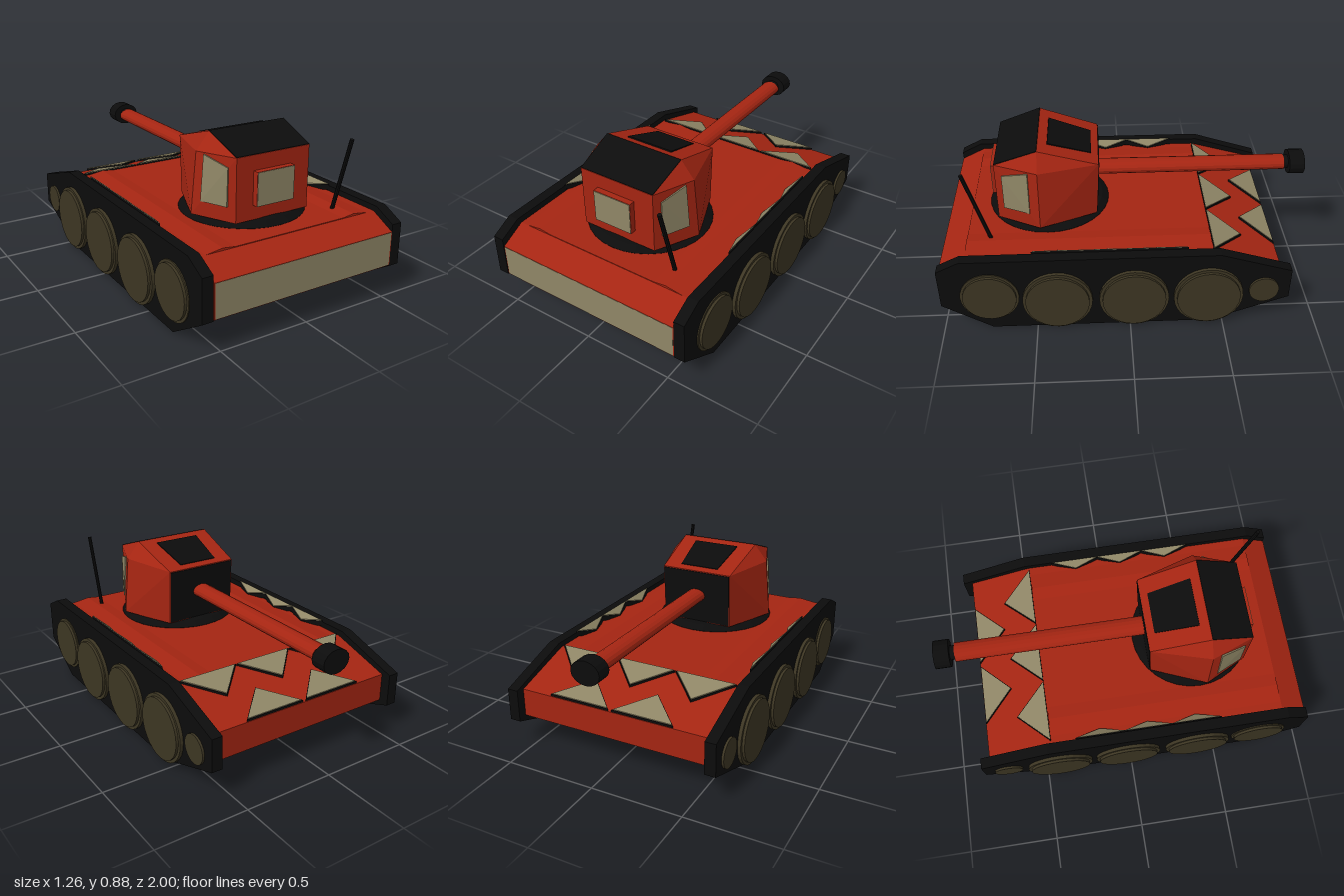
import * as THREE from 'three';
import { ConvexGeometry } from 'three/addons/geometries/ConvexGeometry.js';

const paint = (color) => new THREE.MeshStandardMaterial({ color, flatShading: true });
const V = (x, y, z) => new THREE.Vector3(x, y, z);

export function createModel() {
  const model = new THREE.Group();
  const red = paint(0xa52512), black = paint(0x0c0c0c), cream = paint(0x8f8666), olive = paint(0x3d3623);

  const add = (name, geometry, material, parent = model) => {
    const mesh = new THREE.Mesh(geometry, material);
    mesh.name = name;
    parent.add(mesh);
    return mesh;
  };

  // Side profile given as (z, y), extruded across x from x0 to x1
  const across = (profile, x0, x1) => {
    const shape = new THREE.Shape(profile.map(([z, y]) => new THREE.Vector2(z, y)));
    return new THREE.ExtrudeGeometry(shape, { depth: x1 - x0, bevelEnabled: false })
      .rotateY(-Math.PI / 2).translate(x1, 0, 0);
  };

  // Thin flat panel: four corners thickened along their normal
  const panel = (corners, t) => {
    const p = corners.map((c) => V(...c));
    const n = p[1].clone().sub(p[0]).cross(p[2].clone().sub(p[0])).normalize().multiplyScalar(t);
    return new ConvexGeometry(p.flatMap((c) => [c.clone().add(n), c.clone().sub(n)]));
  };

  // Hull
  add('hull', across([[1, 0.36], [0.86, 0.43], [-0.45, 0.43], [-0.8, 0.33], [-0.8, 0.175],
    [-0.43, 0.01], [0.74, 0.01], [1, 0.175]], -0.535, 0.54), red);
  const crown = new THREE.Shape([[-0.53, 0.42], [0.53, 0.42], [0.53, 0.425], [0.4, 0.443], [0.33, 0.434],
    [-0.33, 0.434], [-0.4, 0.443], [-0.53, 0.425]].map(([x, y]) => new THREE.Vector2(x, y)));
  add('deck', new THREE.ExtrudeGeometry(crown, { depth: 1.3, bevelEnabled: false }).translate(0, 0, -0.44), red);
  add('frontPlate', panel([[-0.53, 0.178, 0.997], [0.535, 0.178, 0.997], [0.535, 0.358, 0.997],
    [-0.53, 0.358, 0.997]], 0.004), cream);

  // Tracks and wheels
  const trackProfile = [[1, 0.4], [0.88, 0.46], [-0.47, 0.46], [-0.85, 0.34], [-0.85, 0.16],
    [-0.43, 0.005], [0.74, 0.005], [1, 0.17]];
  const wheels = [[0.74, 0.225, 0.155, 0.62], [0.385, 0.193, 0.185, 0.632], [-0.02, 0.193, 0.185, 0.632],
    [-0.415, 0.193, 0.185, 0.632], [-0.71, 0.22, 0.087, 0.612]];
  const disc = (r, x0, x1, y, z) => new THREE.CylinderGeometry(r, r, x1 - x0, 28)
    .rotateZ(Math.PI / 2).translate((x0 + x1) / 2, y, z);
  for (const s of [-1, 1]) {
    const side = new THREE.Group();
    side.name = s > 0 ? 'leftTrack' : 'rightTrack';
    model.add(side);
    add('track', across(trackProfile, s > 0 ? 0.54 : -0.6, s > 0 ? 0.6 : -0.54), black, side);
    for (const [z, y, r, x] of wheels) {
      const wheel = new THREE.Group();
      wheel.name = 'wheel';
      side.add(wheel);
      for (const [part, radius, outer] of [['tyre', r, x - 0.014], ['wheelDisc', r * 0.91, x]]) {
        const a = s * 0.58, b = s * outer;
        add(part, disc(radius, Math.min(a, b), Math.max(a, b), y, z), olive, wheel);
      }
    }
  }

  // Triangular teeth: cream plates on black backing, laid over a height rule
  const slab = (pts, grow, depth, lift, height) => {
    const cx = (pts[0][0] + pts[1][0] + pts[2][0]) / 3, cz = (pts[0][1] + pts[1][1] + pts[2][1]) / 3;
    const shape = new THREE.Shape(pts.map(([x, z]) =>
      new THREE.Vector2(cx + (x - cx) * grow, cz + (z - cz) * grow)));
    const g = new THREE.ExtrudeGeometry(shape, { depth, bevelEnabled: false }).rotateX(Math.PI / 2);
    const p = g.attributes.position;
    for (let i = 0; i < p.count; i++) p.setY(i, p.getY(i) + lift + height(p.getX(i), p.getZ(i)));
    g.computeVertexNormals();
    return g;
  };
  const tooth = (name, pts, height) => {
    add(name + 'Backing', slab(pts, 1.05, 0.03, 0.012, height), black);
    add(name, slab(pts, 1, 0.01, 0.016, height), cream);
  };
  const slope = (x, z) => 0.43 + Math.min(0, z + 0.45) * 0.286;
  for (const x of [-0.35, 0, 0.35]) tooth('upperTooth', [[x - 0.165, -0.445], [x + 0.165, -0.445], [x, -0.61]], slope);
  for (const x of [-0.175, 0.19]) tooth('lowerTooth', [[x - 0.165, -0.795], [x + 0.165, -0.795], [x, -0.635]], slope);
  const lean = (x) => 0.425 + (Math.abs(x) - 0.495) * 0.8;
  for (const s of [-1, 1]) for (const z of [-0.165, 0.1, 0.37])
    tooth('sideTooth', [[s * 0.535, z - 0.135], [s * 0.535, z + 0.135], [s * 0.495, z]], lean);

  // Turret ring
  add('turretRing', new THREE.LatheGeometry([[0.34, 0.42], [0.335, 0.435], [0.3, 0.46], [0.25, 0.474], [0, 0.482]]
    .map(([r, y]) => new THREE.Vector2(r, y)), 32).translate(0, 0, 0.43), black);

  // Turret body
  const turret = new THREE.Group();
  turret.name = 'turret';
  model.add(turret);
  const body = [];
  for (const s of [-1, 1]) {
    body.push(V(s * 0.22, 0.465, 0.7), V(s * 0.22, 0.8, 0.7),
      V(s * 0.335, 0.465, 0.47), V(s * 0.305, 0.79, 0.47), V(s * 0.23, 0.882, 0.47),
      V(s * 0.21, 0.465, 0.165), V(s * 0.21, 0.78, 0.15));
    add('sideWindow', panel([[s * 0.242, 0.545, 0.66], [s * 0.238, 0.745, 0.66],
      [s * 0.288, 0.785, 0.52], [s * 0.306, 0.545, 0.52]], 0.008), cream, turret);
  }
  add('turretBody', new ConvexGeometry(body), red, turret);
  add('roofPanel', panel([[-0.22, 0.8, 0.698], [0.22, 0.8, 0.698], [0.23, 0.881, 0.47], [-0.23, 0.881, 0.47]], 0.004),
    black, turret);
  add('roofHatch', panel([[-0.135, 0.869, 0.42], [0.135, 0.869, 0.42], [0.115, 0.793, 0.19], [-0.115, 0.793, 0.19]],
    0.004), black, turret);
  add('gunPlate', panel([[-0.205, 0.47, 0.165], [0.205, 0.47, 0.165], [0.205, 0.775, 0.15], [-0.205, 0.775, 0.15]],
    0.004), black, turret);
  add('windowFrame', new THREE.BoxGeometry(0.225, 0.178, 0.05).translate(-0.007, 0.632, 0.708), red, turret);
  add('frontWindow', new THREE.BoxGeometry(0.221, 0.174, 0.006).translate(-0.007, 0.632, 0.733), cream, turret);

  // Gun: oval tubes running back along -z
  const oval = (rx, ry, z0, z1) => new THREE.CylinderGeometry(1, 1, 1, 16).rotateX(Math.PI / 2)
    .scale(rx, ry, z0 - z1).translate(0, 0.632, (z0 + z1) / 2);
  add('barrel', oval(0.055, 0.038, 0.17, -0.89), red, turret);
  add('muzzleCollar', oval(0.04, 0.036, -0.88, -0.93), black, turret);
  add('muzzle', oval(0.08, 0.064, -0.915, -1), black, turret);

  // Antenna, leaning forward
  const antenna = add('antenna', new THREE.CylinderGeometry(0.011, 0.011, 0.42, 8), black);
  antenna.position.set(0.367, 0.637, 0.79);
  antenna.rotation.x = Math.atan2(0.11, 0.39);

  return model;
}
